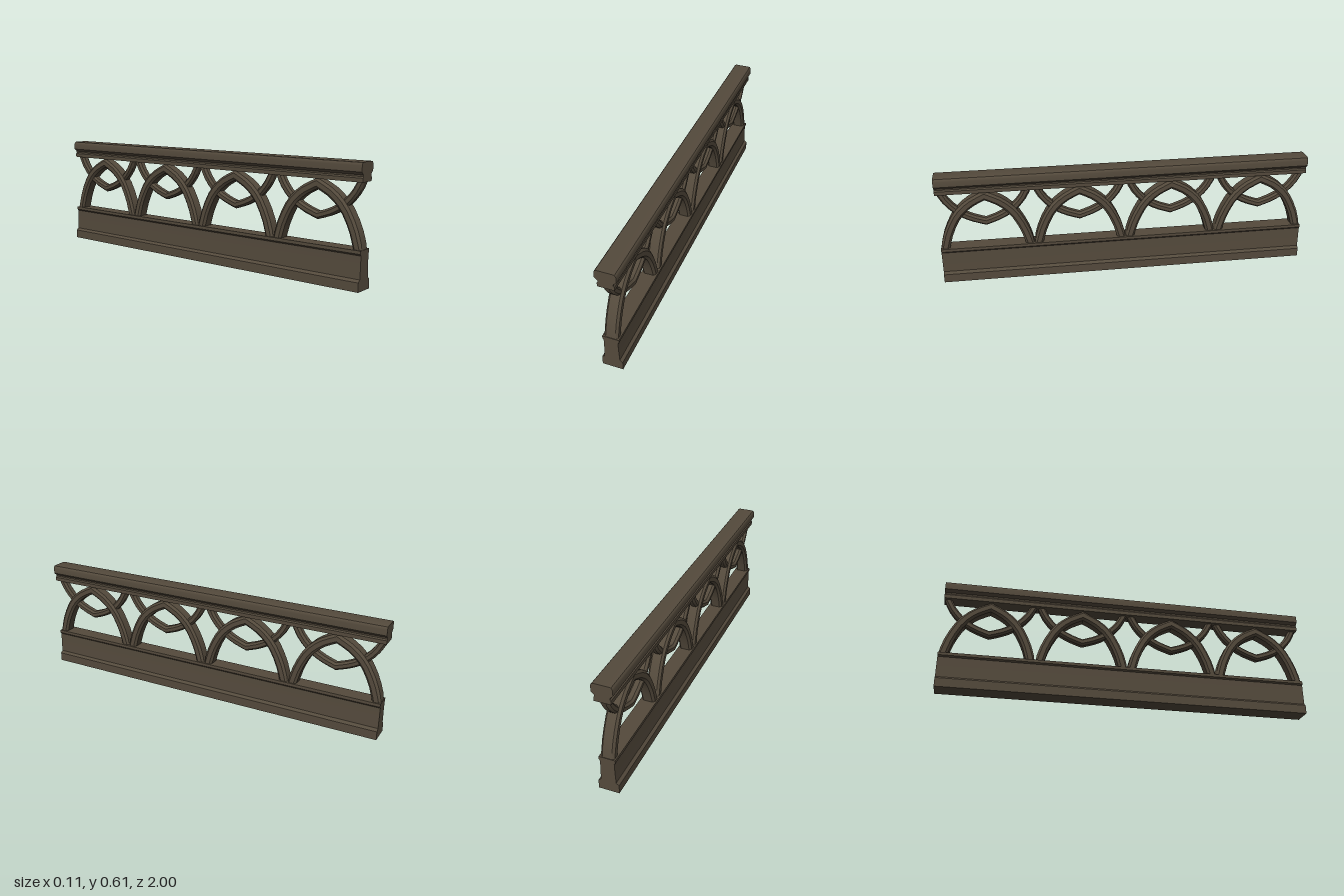
import * as THREE from 'three';
import { toCreasedNormals } from 'three/addons/utils/BufferGeometryUtils.js';

const stone = new THREE.MeshStandardMaterial({ color: 0x544a3c });
stone.name = 'brownStone';

// Mirrored moulding profile [halfWidth, y], extruded along the full length.
function moulding(name, half) {
  const right = half.map(([x, y]) => new THREE.Vector2(x, y));
  const left = half.map(([x, y]) => new THREE.Vector2(-x, y)).reverse();
  const geo = new THREE.ExtrudeGeometry(new THREE.Shape([...right, ...left]), {
    depth: 2, bevelEnabled: false,
  });
  geo.translate(0, 0, -1);
  const mesh = new THREE.Mesh(toCreasedNormals(geo, 0.5), stone);
  mesh.name = name;
  return mesh;
}

// Pointed arch: a chamfered bar swept along half a curve and its mirror image.
function archGeometry(halfPath, section) {
  const curve = new THREE.CatmullRomCurve3(halfPath.map(([z, y]) => new THREE.Vector3(0, y, z)));
  const side = curve.getPoints(9);
  const path = [...side, ...side.slice(0, -1).reverse().map((p) => new THREE.Vector3(0, p.y, -p.z))];
  const n = section.length;
  const pos = [];
  const index = [];
  path.forEach((p, i) => {
    const before = path[Math.max(i - 1, 0)];
    const after = path[Math.min(i + 1, path.length - 1)];
    const a = p.clone().sub(before).normalize();
    const b = after.clone().sub(p).normalize();
    const t = a.clone().add(b).normalize();
    // Widen the mitre so the bar keeps its thickness at the point
    const mitre = 1 / Math.max(0.5, t.dot(b.lengthSq() ? b : a));
    for (const [x, w] of section) {
      const z = p.z + t.y * w * mitre;
      pos.push(x, p.y - t.z * w * mitre, THREE.MathUtils.clamp(z, -0.25, 0.25));
    }
    if (i === 0) return;
    for (let k = 0; k < n; k++) {
      const l = (k + 1) % n;
      const p0 = (i - 1) * n + k, p1 = (i - 1) * n + l;
      const q0 = i * n + k, q1 = i * n + l;
      index.push(p0, p1, q1, p0, q1, q0);
    }
  });
  // End caps
  const last = (path.length - 1) * n;
  for (let k = 1; k < n - 1; k++) {
    index.push(0, k + 1, k, last, last + k, last + k + 1);
  }
  const geo = new THREE.BufferGeometry();
  geo.setAttribute('position', new THREE.Float32BufferAttribute(pos, 3));
  geo.setIndex(index);
  return geo;
}

// Eight-sided bar section: half depth x, half width w, flats fx and fw.
function octagon(x, w, fx, fw) {
  return [[x, -fw], [x, fw], [fx, w], [-fx, w], [-x, fw], [-x, -fw], [-fx, -w], [fx, -w]];
}

// Turn all faces outward if the sweep direction left them inside out.
function outward(geo) {
  const p = geo.attributes.position;
  const ix = geo.index.array;
  const [a, b, c] = [0, 1, 2].map(() => new THREE.Vector3());
  let volume = 0;
  for (let i = 0; i < ix.length; i += 3) {
    a.fromBufferAttribute(p, ix[i]);
    b.fromBufferAttribute(p, ix[i + 1]);
    c.fromBufferAttribute(p, ix[i + 2]);
    volume += a.dot(b.cross(c));
  }
  if (volume < 0) ix.reverse();
  return toCreasedNormals(geo, 0.65);
}

export function createModel() {
  const model = new THREE.Group();
  model.name = 'balustrade';

  model.add(moulding('basePlinth', [
    [0.053, 0], [0.053, 0.047], [0.039, 0.059], [0.038, 0.09], [0.0365, 0.13],
    [0.036, 0.172], [0.042, 0.18], [0.042, 0.196],
  ]));
  model.add(moulding('handrail', [
    [0.042, 0.514], [0.042, 0.534], [0.037, 0.541], [0.038, 0.549], [0.053, 0.563],
    [0.053, 0.592], [0.051, 0.6], [0.046, 0.606], [0.038, 0.608],
  ]));

  // Tracery: rising arches interlaced with lighter hanging ones
  const rising = outward(archGeometry(
    [[0.232, 0.175], [0.2, 0.284], [0.145, 0.387], [0.08, 0.448], [0, 0.49]],
    octagon(0.035, 0.024, 0.024, 0.012)));
  const hanging = outward(archGeometry(
    [[0.238, 0.535], [0.195, 0.457], [0.135, 0.395], [0.07, 0.358], [0, 0.333]],
    octagon(0.024, 0.019, 0.012, 0.009)));

  for (const z of [-0.75, -0.25, 0.25, 0.75]) {
    for (const [name, geo] of [['risingArch', rising], ['hangingArch', hanging]]) {
      const mesh = new THREE.Mesh(geo, stone);
      mesh.name = name;
      mesh.position.z = z;
      model.add(mesh);
    }
  }
  return model;
}
